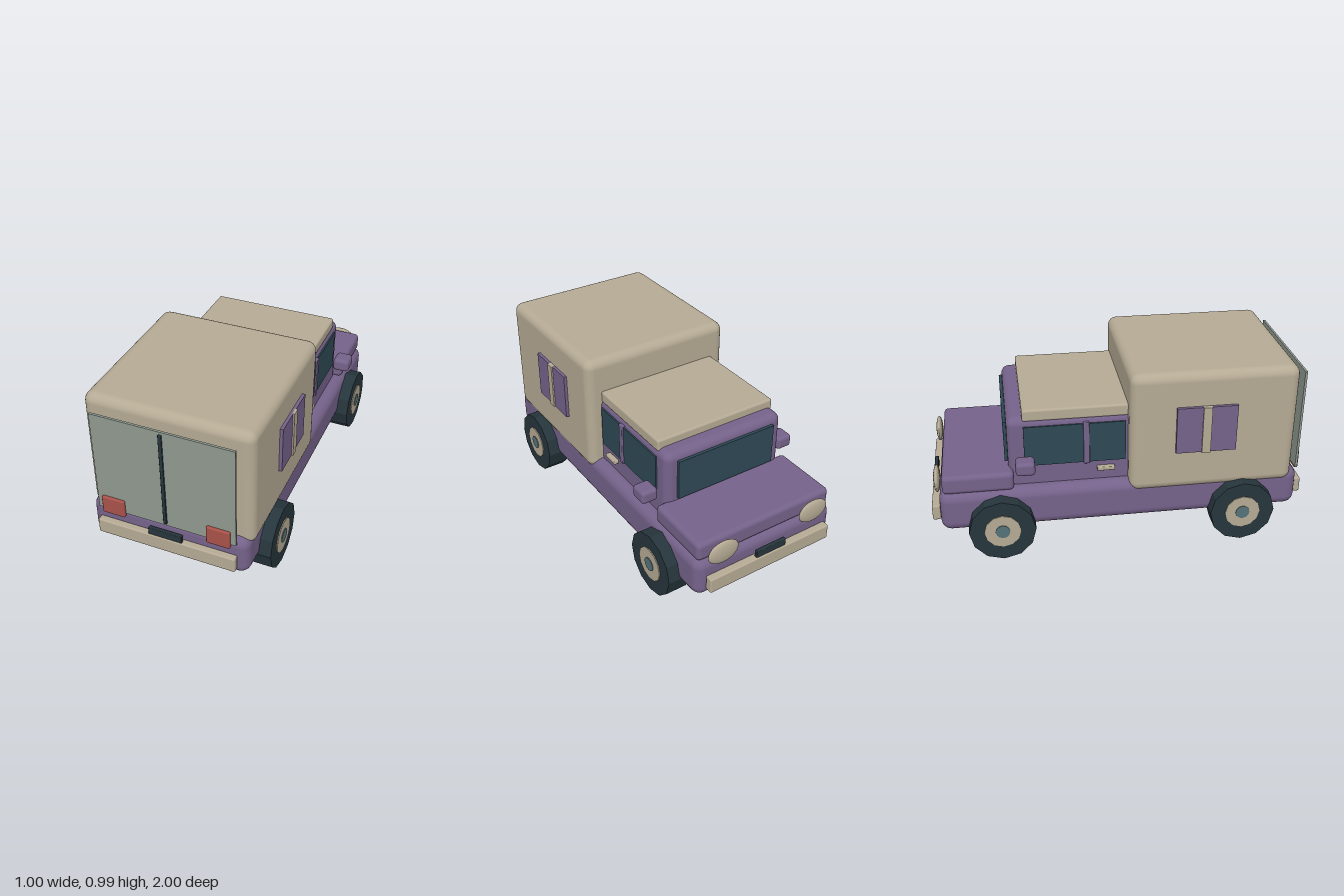
import * as THREE from 'three';
import { RoundedBoxGeometry } from 'three/addons/geometries/RoundedBoxGeometry.js';

const mat = (color, flatShading = false) => new THREE.MeshStandardMaterial({ color, flatShading });
const purple = mat(0x75628a);
const tan = mat(0xb5aa94);
const hubTan = mat(0xb5aa94, true);
const dark = mat(0x26353c);
const rubber = mat(0x26353c, true);
const glass = mat(0x2e4955);
const panel = mat(0x909990);
const red = mat(0xa8524a);
const capTeal = mat(0x55737a, true);

export function createModel() {
  const model = new THREE.Group();
  model.name = 'camperTruck';

  const add = (name, geometry, material, x, y, z) => {
    const mesh = new THREE.Mesh(geometry, material);
    mesh.name = name;
    mesh.position.set(x, y, z);
    model.add(mesh);
    return mesh;
  };

  // Box given by its extents, with rounded edges when r > 0
  const block = (name, material, [x0, x1], [y0, y1], [z0, z1], r = 0) => {
    const size = [x1 - x0, y1 - y0, z1 - z0];
    const geometry = r ? new RoundedBoxGeometry(...size, 3, r) : new THREE.BoxGeometry(...size);
    return add(name, geometry, material, (x0 + x1) / 2, (y0 + y1) / 2, (z0 + z1) / 2);
  };

  // The same box on both sides of the truck
  const pair = (name, material, [x0, x1], y, z, r = 0) => {
    block(name + 'Left', material, [x0, x1], y, z, r);
    block(name + 'Right', material, [-x1, -x0], y, z, r);
  };

  // Body
  block('chassis', purple, [-0.425, 0.425], [0.148, 0.375], [-0.957, 0.962], 0.055);
  block('cab', purple, [-0.36, 0.36], [0.3, 0.755], [-0.59, 0.1], 0.045);
  block('hood', purple, [-0.408, 0.408], [0.365, 0.47], [-0.937, -0.565], 0.025);
  block('cabRoof', tan, [-0.355, 0.355], [0.735, 0.8], [-0.508, 0.06], 0.012);
  block('camperBox', tan, [-0.438, 0.438], [0.315, 0.987], [0.038, 0.92], 0.05);

  // Cab glazing and fittings
  block('windshield', glass, [-0.295, 0.295], [0.485, 0.71], [-0.606, -0.585]);
  pair('cabWindow', glass, [0.35, 0.368], [0.485, 0.71], [-0.505, 0.025]);
  pair('windowPillar', purple, [0.35, 0.376], [0.478, 0.72], [-0.197, -0.165], 0.005);
  pair('doorHandle', tan, [0.355, 0.387], [0.434, 0.455], [-0.127, -0.033], 0.005);
  pair('mirror', purple, [0.382, 0.475], [0.483, 0.557], [-0.555, -0.455], 0.02);

  // Camper side windows with centre bar
  pair('camperWindow', purple, [0.43, 0.455], [0.545, 0.803], [0.275, 0.593]);
  pair('camperWindowBar', tan, [0.43, 0.463], [0.543, 0.803], [0.41, 0.456]);

  // Rear doors and tail lights
  block('rearDoors', panel, [-0.37, 0.37], [0.355, 0.927], [0.963, 0.975]);
  block('rearDoorSeam', dark, [-0.009, 0.009], [0.37, 0.913], [0.967, 0.985], 0.004);
  pair('tailLight', red, [0.22, 0.343], [0.336, 0.437], [0.967, 0.99], 0.006);

  // Bumpers and number plates at both ends
  block('rearBumper', tan, [-0.373, 0.373], [0.2, 0.285], [0.962, 1], 0.008);
  block('frontBumper', tan, [-0.373, 0.373], [0.2, 0.285], [-1, -0.957], 0.008);
  block('rearPlate', dark, [-0.091, 0.091], [0.26, 0.325], [0.975, 0.995], 0.004);
  block('frontPlate', dark, [-0.091, 0.091], [0.26, 0.325], [-0.993, -0.973], 0.004);

  // Headlights and wheels
  for (const s of [-1, 1]) {
    add('headlight', new THREE.SphereGeometry(1, 20, 14), tan, s * 0.28, 0.4, -0.965)
      .scale.set(0.09, 0.065, 0.019);
    for (const z of [0.645, -0.64]) {
      const disc = (name, radius, width, material) => add(
        name, new THREE.CylinderGeometry(radius, radius, width, 12).rotateZ(Math.PI / 2),
        material, s * 0.43, 0.175, z);
      disc('tire', 0.175, 0.12, rubber);
      disc('hub', 0.095, 0.13, hubTan);
      disc('hubCap', 0.038, 0.138, capTeal);
    }
  }
  return model;
}
